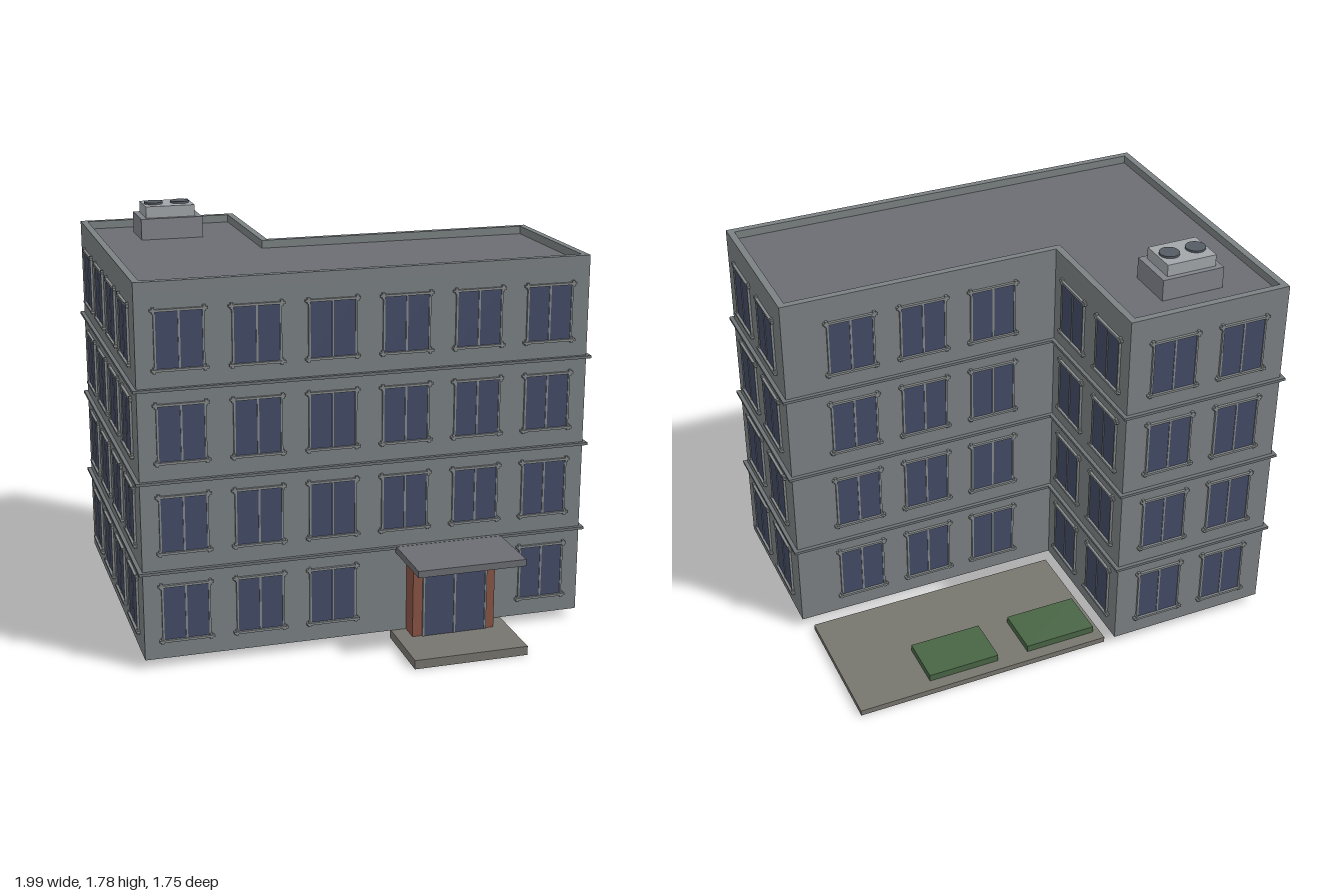
import * as THREE from 'three';

const mat = (color) => new THREE.MeshStandardMaterial({ color });
const M = {
  wall: mat(0x7b8183), roof: mat(0x6c6d72), trim: mat(0x6e7376), frame: mat(0x85898a),
  glass: mat(0x434b66), brick: mat(0x8a5445), paving: mat(0x77756e), lawn: mat(0x496645),
  metal: mat(0xa2a6aa), base: mat(0x80838a), fan: mat(0x565c64),
};

// Box given by its extents along x, y and z
function block(parent, name, material, [x0, x1], [y0, y1], [z0, z1]) {
  const mesh = new THREE.Mesh(new THREE.BoxGeometry(x1 - x0, y1 - y0, z1 - z0), material);
  mesh.position.set((x0 + x1) / 2, (y0 + y1) / 2, (z0 + z1) / 2);
  mesh.name = name;
  parent.add(mesh);
  return mesh;
}

// L-shaped floor plan, grown outwards by o
function plan(o) {
  return [
    [-0.98 - o, 0.554 + o], [0.98 + o, 0.554 + o], [0.98 + o, -0.18 - o],
    [-0.25 + o, -0.18 - o], [-0.25 + o, -0.856 - o], [-0.98 - o, -0.856 - o],
  ].map(([x, z]) => new THREE.Vector2(x, -z));
}

// Floor plan raised from y0 to y1, optionally hollow
function storey(parent, name, material, grow, y0, y1, holeGrow) {
  const shape = new THREE.Shape(plan(grow));
  if (holeGrow !== undefined) shape.holes.push(new THREE.Path(plan(holeGrow)));
  const geo = new THREE.ExtrudeGeometry(shape, { depth: y1 - y0, bevelEnabled: false });
  geo.rotateX(-Math.PI / 2);
  const mesh = new THREE.Mesh(geo, material);
  mesh.position.y = y0;
  mesh.name = name;
  parent.add(mesh);
}

// Two-light window facing +z, centred on the wall plane
function makeWindow() {
  const g = new THREE.Group();
  const w = 0.1, h = 0.1225;
  block(g, 'glass', M.glass, [-w, w], [-h, h], [-0.004, 0.006]);
  block(g, 'mullion', M.frame, [-0.004, 0.004], [-h, h], [0, 0.009]);
  for (const s of [-1, 1]) {
    block(g, 'jamb', M.frame, [s * w - 0.004, s * w + 0.004], [-h, h], [0, 0.01]);
    block(g, s > 0 ? 'lintel' : 'sill', M.frame,
      [-0.118, 0.118], [s * h - 0.005, s * h + 0.005], [0, s > 0 ? 0.012 : 0.017]);
    for (const t of [-1, 1]) {
      block(g, 'bracket', M.frame, [s * 0.104 - 0.006, s * 0.104 + 0.006],
        [t * h - 0.013, t * h + 0.013], [0, 0.012]);
    }
  }
  return g;
}

export function createModel() {
  const model = new THREE.Group();
  model.name = 'building';

  // Walls, parapet and roof deck
  storey(model, 'walls', M.wall, 0, 0.04, 1.615);
  storey(model, 'parapet', M.wall, 0, 1.615, 1.66, -0.03);
  storey(model, 'roofDeck', M.roof, -0.03, 1.615, 1.625);

  // String courses between floors
  for (const y of [0.43, 0.823, 1.216]) {
    storey(model, 'stringCourse', M.trim, 0.017, y - 0.006, y + 0.006, -0.005);
  }

  // Windows: wall point, turn, and offsets along the wall
  const row = (n) => Array.from({ length: n }, (_, i) => (i - (n - 1) / 2) * 0.32);
  const walls = [
    { name: 'front', x: 0, z: 0.554, turn: 0, n: 6 },
    { name: 'leftEnd', x: 0.98, z: 0.19, turn: Math.PI / 2, n: 2 },
    { name: 'wingInner', x: -0.25, z: -0.518, turn: Math.PI / 2, n: 2 },
    { name: 'rightSide', x: -0.98, z: -0.151, turn: -Math.PI / 2, n: 4 },
    { name: 'mainBack', x: 0.365, z: -0.18, turn: Math.PI, n: 3 },
    { name: 'wingBack', x: -0.615, z: -0.856, turn: Math.PI, n: 2 },
  ];
  const pattern = makeWindow();
  for (const wall of walls) {
    const side = new THREE.Group();
    side.name = wall.name + 'Windows';
    side.position.set(wall.x, 0, wall.z);
    side.rotation.y = wall.turn;
    for (let floor = 0; floor < 4; floor++) {
      row(wall.n).forEach((x, i) => {
        // The entrance takes two places on the ground floor
        if (wall.name === 'front' && floor === 0 && (i === 3 || i === 4)) return;
        const win = pattern.clone();
        win.name = 'window';
        win.position.set(x, 0.244 + floor * 0.392, 0);
        side.add(win);
      });
    }
    model.add(side);
  }

  // Entrance porch
  const porch = new THREE.Group();
  porch.name = 'entrance';
  model.add(porch);
  block(porch, 'doorstep', M.paving, [0.107, 0.617], [0, 0.04], [0.54, 0.875]);
  block(porch, 'brickSurround', M.brick, [0.175, 0.55], [0.04, 0.405], [0.55, 0.643]);
  block(porch, 'canopy', M.roof, [0.122, 0.603], [0.405, 0.435], [0.55, 0.86]);
  block(porch, 'doorGlass', M.glass, [0.222, 0.507], [0.04, 0.355], [0.64, 0.649]);
  for (const x of [0.222, 0.364, 0.507]) {
    block(porch, 'doorPost', M.frame, [x - 0.004, x + 0.004], [0.04, 0.36], [0.64, 0.653]);
  }
  block(porch, 'doorHead', M.frame, [0.213, 0.516], [0.352, 0.362], [0.64, 0.655]);

  // Rear patio with planting beds
  block(model, 'patio', M.paving, [-0.216, 0.94], [0, 0.025], [-0.825, -0.22]);
  for (const x of [-0.185, 0.28]) {
    block(model, 'plantingBed', M.lawn, [x, x + 0.323], [0.02, 0.056], [-0.772, -0.557]);
  }

  // Rooftop ventilation unit
  const unit = new THREE.Group();
  unit.name = 'ventilationUnit';
  model.add(unit);
  block(unit, 'unitBase', M.base, [-0.757, -0.475], [1.62, 1.72], [-0.7, -0.485]);
  block(unit, 'unitHousing', M.metal, [-0.73, -0.505], [1.72, 1.772], [-0.677, -0.507]);
  for (const x of [-0.68, -0.558]) {
    const fan = new THREE.Mesh(new THREE.CylinderGeometry(0.043, 0.043, 0.012, 24), M.fan);
    fan.name = 'fan';
    fan.position.set(x, 1.775, -0.592);
    unit.add(fan);
  }
  return model;
}
